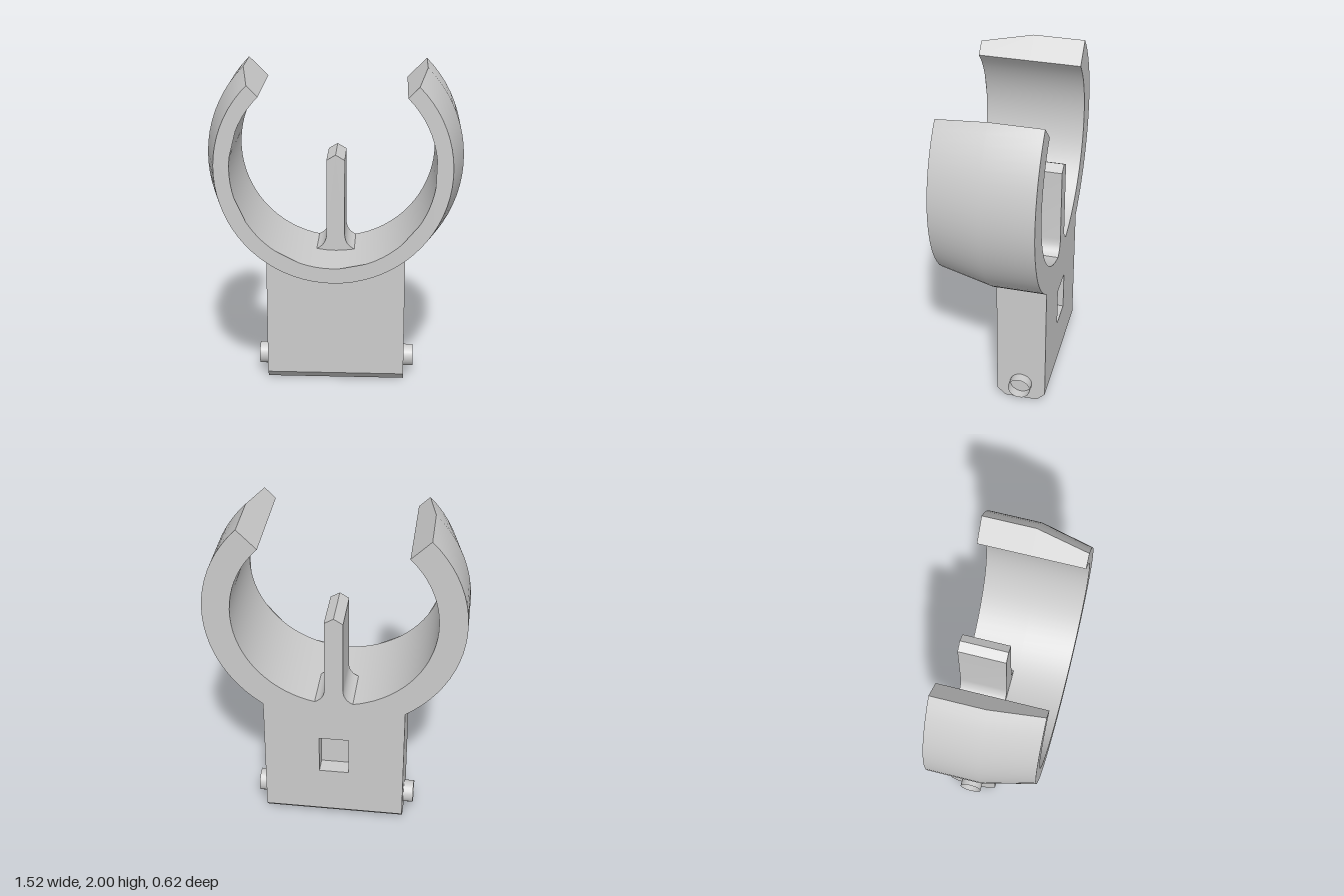
import * as THREE from 'three';
import { toCreasedNormals } from 'three/addons/utils/BufferGeometryUtils.js';

const RING_Y = 1.46;

export function createModel() {
  const group = new THREE.Group();
  const material = new THREE.MeshStandardMaterial({ color: 0xcccccc });
  const thin = new THREE.MeshStandardMaterial({ color: 0xcccccc, side: THREE.DoubleSide });

  const add = (name, geometry, mat = material) => {
    const mesh = new THREE.Mesh(geometry, mat);
    mesh.name = name;
    group.add(mesh);
    return mesh;
  };
  const extrude = (shape, zBack, depth, steps = 1, curveSegments = 28) => {
    const g = new THREE.ExtrudeGeometry(shape, { depth, steps, curveSegments, bevelEnabled: false });
    return g.translate(0, 0, zBack);
  };

  // Open clip ring, 270 degrees, its outer face tapering towards the front
  const from = Math.PI * 0.75, to = Math.PI * 2.25;
  const ringShape = new THREE.Shape();
  ringShape.absarc(0, 0, 0.76, from, to, false);
  ringShape.absarc(0, 0, 0.597, to, from, true);
  const ring = extrude(ringShape, -0.31, 0.62, 2);
  const p = ring.attributes.position;
  for (let i = 0; i < p.count; i++) {
    const r = Math.hypot(p.getX(i), p.getY(i));
    if (p.getZ(i) > 0.2 && r > 0.7) {
      p.setXY(i, p.getX(i) * 0.688 / r, p.getY(i) * 0.688 / r);
    }
  }
  ring.translate(0, RING_Y, 0);
  add('clipRing', toCreasedNormals(ring, 0.5));

  // Flat stem whose top follows the ring, with a pocket in its back
  const stemOutline = () => {
    const s = new THREE.Shape();
    const a = Math.acos(0.425 / 0.68);
    s.moveTo(-0.425, 0.05);
    s.lineTo(0.425, 0.05);
    s.absarc(0, RING_Y, 0.68, -a, a - Math.PI, true);
    s.closePath();
    return s;
  };
  add('stemFront', extrude(stemOutline(), -0.21, 0.2));
  const pocketed = stemOutline();
  const pocket = new THREE.Path();
  pocket.moveTo(-0.09, 0.35);
  pocket.lineTo(-0.09, 0.6);
  pocket.lineTo(0.09, 0.6);
  pocket.lineTo(0.09, 0.35);
  pocket.closePath();
  pocketed.holes.push(pocket);
  add('stemBack', extrude(pocketed, -0.31, 0.1));

  // Chamfered foot of the stem, its section running along x
  const footShape = new THREE.Shape([
    [0.06, 0], [0.26, 0], [0.31, 0.05], [0.01, 0.05],
  ].map(([x, y]) => new THREE.Vector2(x, y)));
  add('stemFoot', extrude(footShape, -0.425, 0.85).rotateY(Math.PI / 2));

  // Upright fin inside the ring, with a peaked top and flared root
  const fin = new THREE.Shape();
  fin.moveTo(-0.12, 0.8);
  fin.lineTo(0.12, 0.8);
  fin.lineTo(0.115, 0.874);
  fin.quadraticCurveTo(0.055, 0.9, 0.055, 0.97);
  fin.lineTo(0.055, 1.43);
  fin.lineTo(0, 1.463);
  fin.lineTo(-0.055, 1.43);
  fin.lineTo(-0.055, 0.97);
  fin.quadraticCurveTo(-0.055, 0.9, -0.115, 0.874);
  fin.closePath();
  add('fin', toCreasedNormals(extrude(fin, -0.31, 0.29, 1, 6), 0.5));

  // Short hollow pivot pegs on both sides
  for (const side of [1, -1]) {
    const peg = new THREE.CylinderGeometry(0.068, 0.068, 0.065, 20, 1, true).rotateZ(Math.PI / 2);
    add(side > 0 ? 'leftPeg' : 'rightPeg', peg, thin).position.set(side * 0.4525, 0.117, -0.16);
  }

  return group;
}
